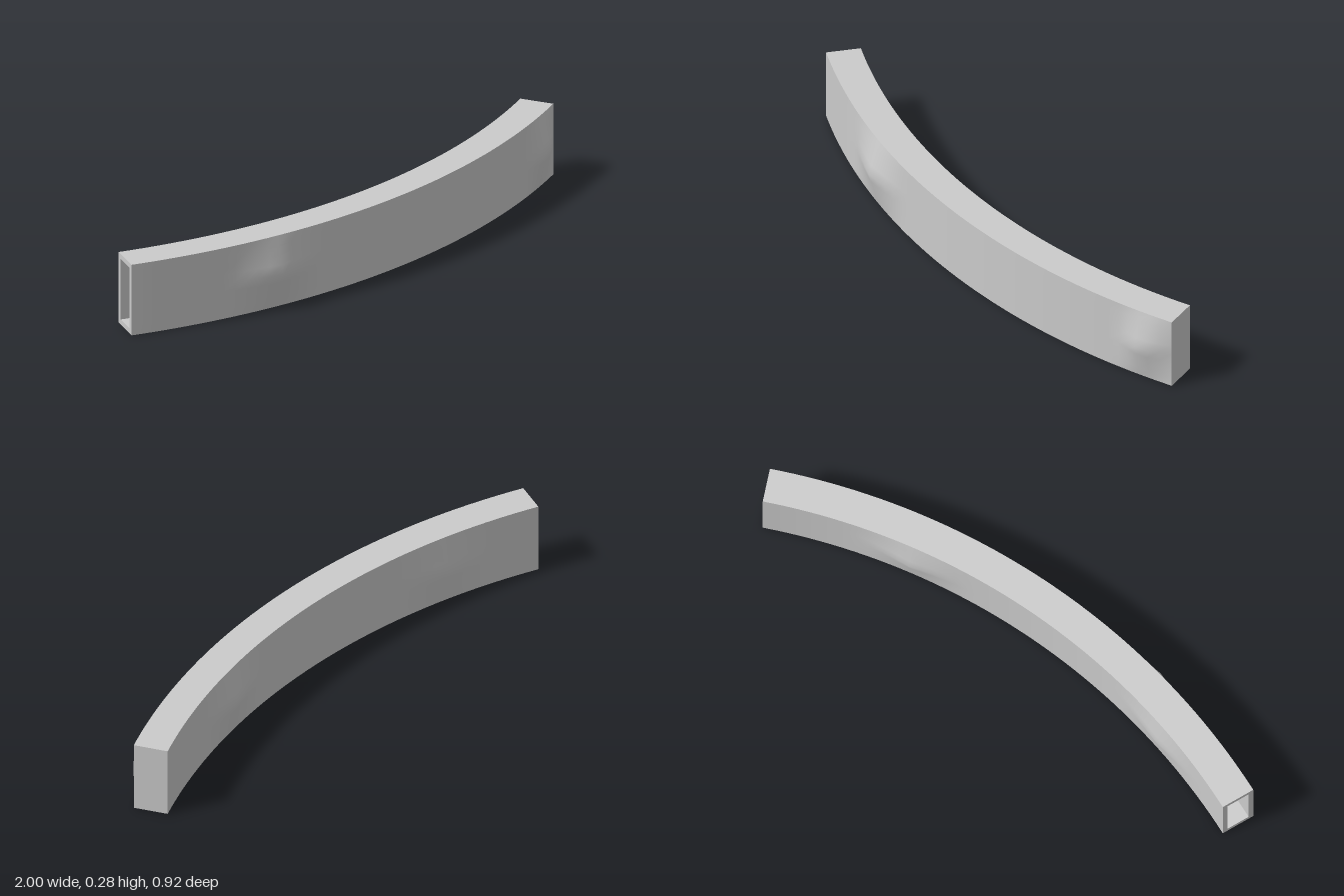
import * as THREE from 'three';

const CX = -0.95, CZ = -2.25;            // centre of the arc in plan
const A0 = -1.06, A1 = 46.1;             // start and end of the arc, degrees
const R_IN = 2.575, R_OUT = 2.705, H = 0.28, WALL = 0.02;

// Shallow bulges in the side walls: radial amount, angle, half width
const frontBulges = [[0.04, 11.6, 4.3], [0.04, 43.6, 2.5]];
const backBulges = [[-0.022, 7.9, 4.6], [-0.027, 33.3, 4.4]];

const material = new THREE.MeshStandardMaterial({ color: 0xcccccc, side: THREE.DoubleSide });

const lerp = THREE.MathUtils.lerp;

function arcPoint(angle, r, y) {
  const a = THREE.MathUtils.degToRad(angle);
  return [CX + r * Math.sin(a), y, CZ + r * Math.cos(a)];
}

function bulge(list, angle, v) {
  const across = 1 - Math.abs(2 * v - 1);
  return list.reduce((sum, [amount, at, half]) =>
    sum + amount * across * Math.max(0, 1 - Math.abs(angle - at) / half), 0);
}

// Smooth grid whose outside is the u x v side; flip turns it inside out
function sheet(name, nu, nv, f, flip = false) {
  const pos = [], index = [];
  for (let j = 0; j <= nv; j++)
    for (let i = 0; i <= nu; i++) pos.push(...f(i / nu, j / nv));
  for (let j = 0; j < nv; j++)
    for (let i = 0; i < nu; i++) {
      const a = j * (nu + 1) + i, b = a + 1, c = a + nu + 1, d = c + 1;
      if (flip) index.push(a, d, b, a, c, d);
      else index.push(a, b, d, a, d, c);
    }
  const g = new THREE.BufferGeometry();
  g.setAttribute('position', new THREE.Float32BufferAttribute(pos, 3));
  g.setIndex(index);
  g.computeVertexNormals();
  const mesh = new THREE.Mesh(g, material);
  mesh.name = name;
  return mesh;
}

// Four long faces and the closed far end of a curved box
function curvedBox(name, inset, inward) {
  const group = new THREE.Group();
  group.name = name;
  const r0 = R_IN + inset, r1 = R_OUT - inset, y0 = inset, y1 = H - inset;
  const end = A1 - (inward ? 0.4 : 0), N = 48;
  const angle = u => lerp(A0, end, u);
  const side = (r, list) => (u, v) =>
    arcPoint(angle(u), r + (inward ? 0 : bulge(list, angle(u), v)), lerp(y0, y1, v));
  const flat = y => (u, v) => arcPoint(angle(u), lerp(r1, r0, v), y);
  group.add(
    sheet('frontWall', N, 8, side(r1, frontBulges), inward),
    sheet('backWall', N, 8, side(r0, backBulges), !inward),
    sheet('top', N, 1, flat(y1), inward),
    sheet('bottom', N, 1, flat(y0), !inward),
    sheet('endCap', 1, 1, (u, v) => arcPoint(end, lerp(r1, r0, u), lerp(y0, y1, v)), inward));
  return group;
}

export function createModel() {
  const model = new THREE.Group();
  model.name = 'curvedBeam';
  model.add(curvedBox('outerShell', 0, false), curvedBox('innerCavity', WALL, true));

  // Rim around the open end
  const corners = [[0, 0], [1, 0], [1, 1], [0, 1], [0, 0]];
  model.add(sheet('openRim', 4, 1, (u, v) => {
    const [cr, cy] = corners[Math.round(u * 4)], t = v * WALL;
    return arcPoint(A0, lerp(R_IN + t, R_OUT - t, cr), lerp(t, H - t, cy));
  }));
  return model;
}
